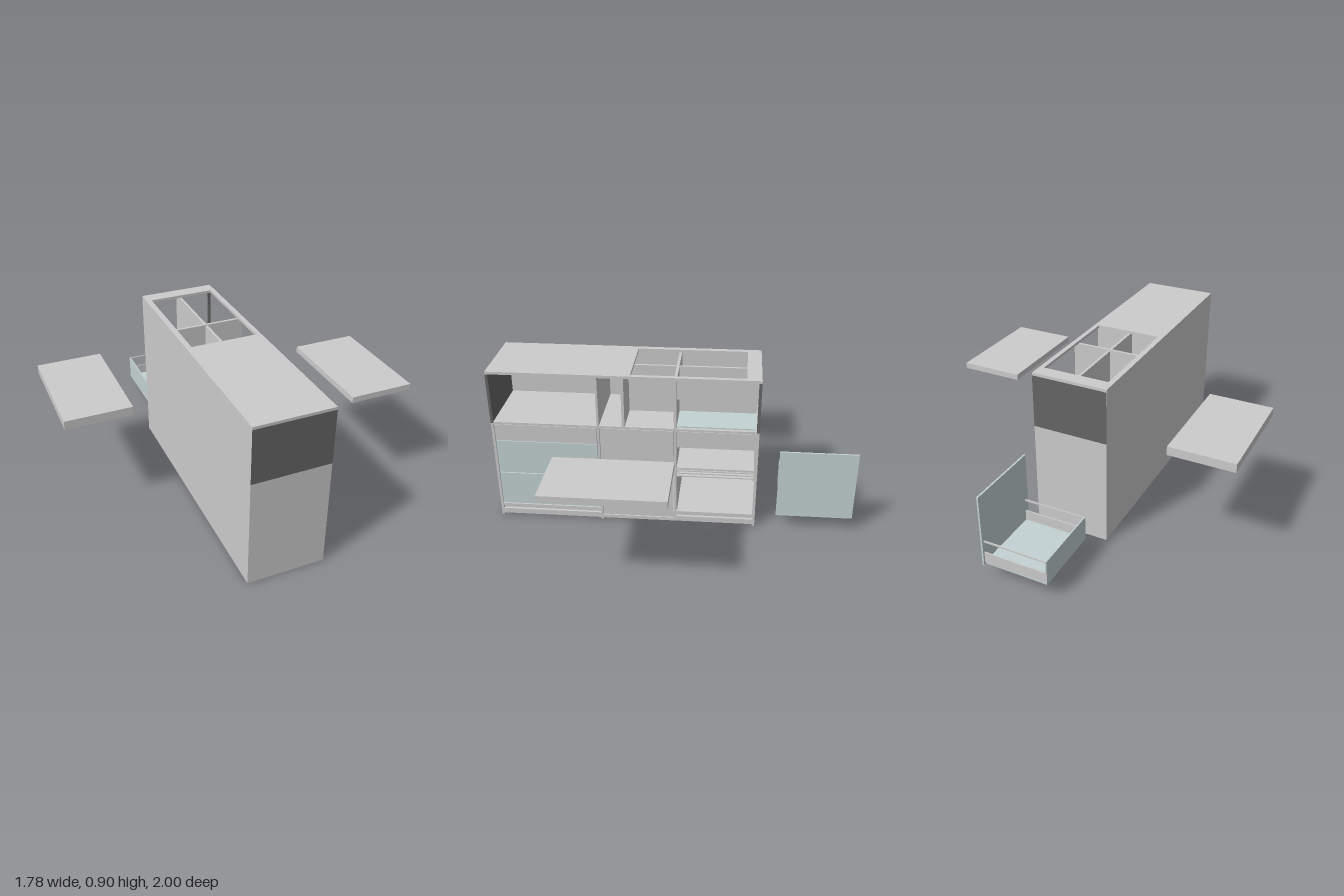
import * as THREE from 'three';

export function createModel() {
  const model = new THREE.Group();
  const grey = new THREE.MeshStandardMaterial({ color: 0xcccccc });
  const dark = new THREE.MeshStandardMaterial({ color: 0x666666 });
  const tinted = new THREE.MeshStandardMaterial({ color: 0xc4d2d3 });

  // Box given by its limits on each axis
  function board(name, [x0, x1], [y0, y1], [z0, z1], mat = grey, parent = model) {
    const mesh = new THREE.Mesh(new THREE.BoxGeometry(x1 - x0, y1 - y0, z1 - z0), mat);
    mesh.position.set((x0 + x1) / 2, (y0 + y1) / 2, (z0 + z1) / 2);
    mesh.name = name;
    parent.add(mesh);
    return mesh;
  }

  // One-sided facing sheet, turned about y
  function sheet(name, w, [y0, y1], x, z, turn, mat = grey) {
    const mesh = new THREE.Mesh(new THREE.PlaneGeometry(w, y1 - y0), mat);
    mesh.position.set(x, (y0 + y1) / 2, z);
    mesh.rotation.y = turn;
    mesh.name = name;
    model.add(mesh);
  }

  const L = -0.25, R = 0.165, IN = -0.235, B = -0.457, F = 1;
  const inside = [IN, 0.15];

  // Worktop with a rectangular opening
  const top = new THREE.Shape([[L, -F], [R, -F], [R, -B], [L, -B]].map(p => new THREE.Vector2(...p)));
  top.holes.push(new THREE.Path([[-0.22, -0.23], [-0.22, 0.38], [0.14, 0.38], [0.14, -0.23]].map(p => new THREE.Vector2(...p))));
  const worktop = new THREE.Mesh(new THREE.ExtrudeGeometry(top, { depth: 0.015, bevelEnabled: false }), grey);
  worktop.rotation.x = -Math.PI / 2;
  worktop.position.y = 0.885;
  worktop.name = 'worktop';
  model.add(worktop);

  // Closed long wall and the two end walls, dark in their upper part
  board('longWall', [L, IN], [0, 0.885], [B, F]);
  for (const [name, y, mat] of [['Lower', [0, 0.595], grey], ['Upper', [0.595, 0.885], dark]]) {
    board('frontEnd' + name, [IN, R], y, [0.985, F], mat);
    board('backEndStile' + name, [0.15, R], y, [B, B + 0.015], mat);
    sheet('backEnd' + name, R - L, y, (L + R) / 2, B - 0.001, Math.PI, mat);
  }
  sheet('frontEndUpperFace', R - L, [0.595, 0.885], (L + R) / 2, F + 0.001, 0, dark);

  // Upright dividers
  board('divider', [IN, R], [0, 0.885], [0.405, 0.417]);
  board('divider', [IN, R], [0.05, 0.885], [-0.015, 0]);
  board('upperDivider', [IN, R], [0.6, 0.885], [0.265, 0.28]);
  board('binPartition', [-0.05, -0.036], [0.6, 0.88], [B + 0.015, 0.265]);

  // Shelf, floor and the tinted floor of the open bin
  board('shelf', [IN, R], [0.59, 0.603], [B + 0.01, 0.985]);
  board('floor', inside, [0.045, 0.06], [B + 0.01, 0.985]);
  board('binFloor', inside, [0.605, 0.612], [B + 0.017, -0.015], tinted);

  // Plinth rails under the floor
  board('baseRail', [0.135, 0.15], [0, 0.045], [B + 0.01, 0.985]);
  for (const [z0, z1] of [[0.417, 0.985], [B + 0.015, -0.015]]) {
    board('lowerRail', [0.15, R], [0.012, 0.042], [z0, z1]);
    board('upperRail', [0.15, R], [0.062, 0.076], [z0, z1]);
  }
  board('lowerRail', [0.15, R], [0.01, 0.03], [0, 0.405]);
  board('backBaseRail', [IN, 0.135], [0, 0.045], [B + 0.002, B + 0.015]);

  // Drawer fronts and the plain door
  board('drawerFront', [0.152, R], [0.49, 0.588], [0.42, 0.982]);
  for (const y of [0.082, 0.287]) board('tintedDrawerFront', [0.152, R], [y, y + 0.2], [0.42, 0.982], tinted);
  board('door', [0.152, R], [0.035, 0.588], [0.003, 0.402]);

  // Open bay: facing strips, shelf and slats
  const bayMid = (B - 0.0) / 2;
  sheet('binFront', 0.425, [0.78, 0.885], R - 0.001, bayMid, Math.PI / 2);
  board('bayFront', [0.152, R], [0.49, 0.588], [B + 0.018, -0.018]);
  board('bayShelf', [IN, 0.16], [0.348, 0.36], [B + 0.018, -0.015]);
  for (const y of [0.3, 0.318, 0.334]) board('baySlat', [0.13, 0.155], [y, y + 0.007], [B + 0.018, -0.015]);

  // Loose table leaves on both sides
  board('rightTable', [-0.895, -0.54], [0.577, 0.625], [-0.385, 0.228]);
  board('leftTable', [0.535, 0.89], [0.585, 0.618], [-0.035, 0.575]);

  // Detached drawer with low sides and gallery rails
  const drawer = new THREE.Group();
  drawer.name = 'looseDrawer';
  model.add(drawer);
  const part = (name, x, y, z, mat) => board(name, x, y, z, mat, drawer);
  part('drawerFace', [0.155, R], [0.08, 0.487], [-0.995, -0.573], tinted);
  part('drawerFloor', [-0.198, 0.155], [0.087, 0.097], [-0.985, -0.595], tinted);
  part('drawerBack', [-0.198, -0.19], [0.087, 0.225], [-0.985, -0.595], tinted);
  for (const z of [-0.985, -0.602]) {
    part('drawerSide', [-0.198, 0.155], [0.087, 0.155], [z, z + 0.007]);
    part('galleryRail', [-0.198, 0.155], [0.217, 0.225], [z, z + 0.007]);
  }
  return model;
}
